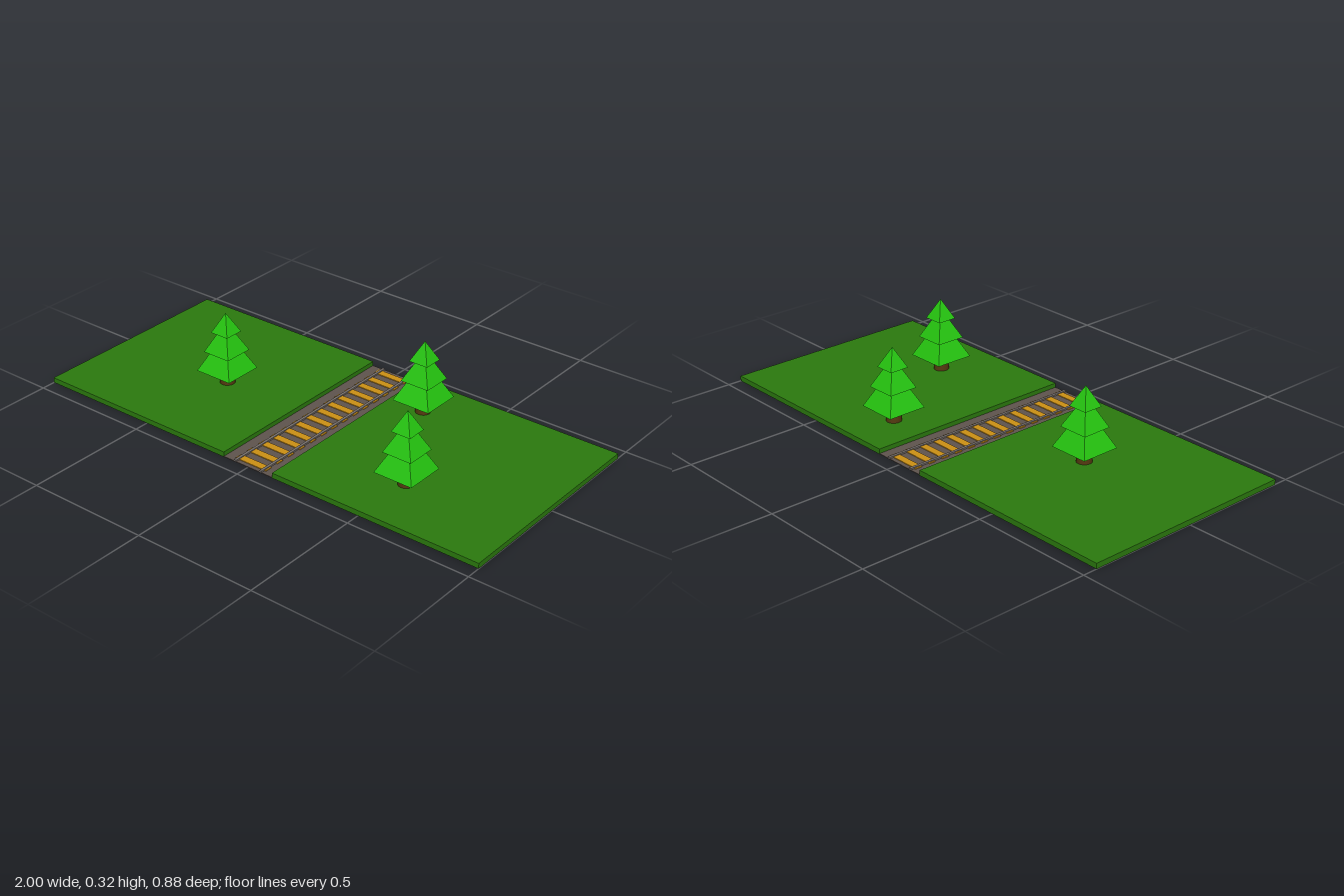
import * as THREE from 'three';

const mat = (color, flatShading = false) => new THREE.MeshStandardMaterial({ color, flatShading });
const grass = mat(0x2b7a0e);
const leaf = mat(0x25c40f, true);
const bark = mat(0x553a10);
const gravel = mat(0x5f544e);
const wood = mat(0xcc9014);
const steel = mat(0x77706c);

function add(parent, name, geometry, material, x, y, z) {
  const mesh = new THREE.Mesh(geometry, material);
  mesh.name = name;
  mesh.position.set(x, y, z);
  parent.add(mesh);
  return mesh;
}

// box standing on height y
function addBox(parent, name, material, w, h, d, x, y, z) {
  return add(parent, name, new THREE.BoxGeometry(w, h, d), material, x, y + h / 2, z);
}

// round trunk with three stacked four-sided pyramids
function makeTree(x, z) {
  const tree = new THREE.Group();
  tree.name = 'tree';
  tree.position.set(x, 0.021, z);
  add(tree, 'trunk', new THREE.CylinderGeometry(0.03, 0.03, 0.06, 24), bark, 0, 0.03, 0);
  const tiers = [[0.082, 0.056, 0.163], [0.0615, 0.136, 0.123], [0.0405, 0.217, 0.081]];
  tiers.forEach(([half, base, height], i) => {
    const cone = new THREE.ConeGeometry(half * Math.SQRT2, height, 4);
    cone.rotateY(Math.PI / 4);
    add(tree, `foliageTier${i + 1}`, cone, leaf, 0, base + height / 2, 0);
  });
  return tree;
}

export function createModel() {
  const model = new THREE.Group();
  model.name = 'railwayScene';
  const depth = 0.885;

  // grass slabs either side of the track
  for (const side of [-1, 1]) {
    addBox(model, side < 0 ? 'rightGrass' : 'leftGrass', grass, 0.886, 0.021, depth, side * 0.557, 0, 0);
  }

  // track: gravel bed, ties and two rails
  const track = new THREE.Group();
  track.name = 'track';
  model.add(track);
  addBox(track, 'gravelBed', gravel, 0.228, 0.003, depth, 0, 0, 0);
  for (let i = 0; i < 14; i++) {
    addBox(track, 'tie', wood, 0.144, 0.003, 0.03, 0, 0.003, (i - 6.5) * 0.0632);
  }
  for (const side of [-1, 1]) {
    addBox(track, 'rail', steel, 0.011, 0.006, depth, side * 0.06, 0.003, 0);
  }

  // trees
  for (const [x, z] of [[-0.452, 0.042], [0.272, -0.247], [0.527, 0.203]]) {
    model.add(makeTree(x, z));
  }
  return model;
}
